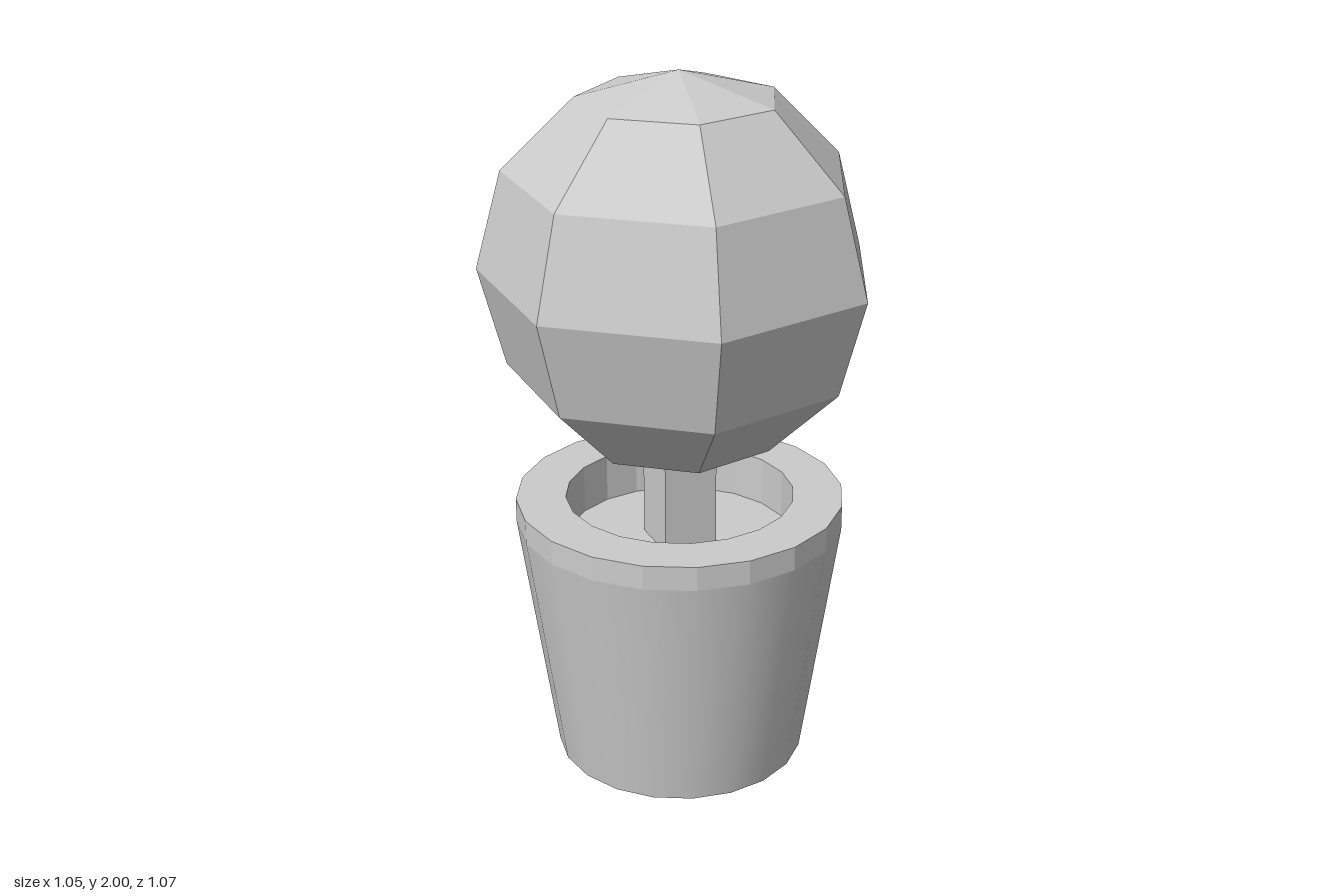
import * as THREE from 'three';

const SIDES = 20;
const smooth = new THREE.MeshStandardMaterial({ color: 0xcccccc });
const flat = new THREE.MeshStandardMaterial({ color: 0xcccccc, flatShading: true });

function part(name, geometry, material, y = 0) {
  const mesh = new THREE.Mesh(geometry, material);
  mesh.name = name;
  mesh.position.y = y;
  return mesh;
}

export function createModel() {
  const tree = new THREE.Group();
  tree.name = 'pottedTree';

  // Tapered pot wall with smooth sides, and its base
  tree.add(part('potBody', new THREE.CylinderGeometry(0.462, 0.357, 0.72, SIDES, 1, true), smooth, 0.36));
  const base = part('potBase', new THREE.CircleGeometry(0.357, SIDES), flat);
  base.rotation.x = Math.PI / 2;
  tree.add(base);

  // Upright faceted rim, flat top ring and inner wall down to the soil
  const rim = [[0.462, 0.72], [0.462, 0.79], [0.322, 0.79], [0.322, 0.65]];
  tree.add(part('potRim', new THREE.LatheGeometry(rim.map(([r, y]) => new THREE.Vector2(r, y)), SIDES), flat));

  // Soil disc
  const soil = part('soil', new THREE.CircleGeometry(0.322, SIDES), flat, 0.65);
  soil.rotation.x = -Math.PI / 2;
  tree.add(soil);

  // Square trunk, running up into the crown
  tree.add(part('trunk', new THREE.BoxGeometry(0.155, 0.4, 0.155), flat, 0.83));

  // Seven-sided low-poly crown with a corner towards +x
  const crown = part('crown', new THREE.SphereGeometry(0.55, 7, 6), flat, 1.45);
  crown.rotation.y = Math.PI;
  tree.add(crown);

  // Offset that centres the uneven crown on x = 0
  tree.position.x = -0.027;
  const model = new THREE.Group();
  model.add(tree);
  return model;
}
